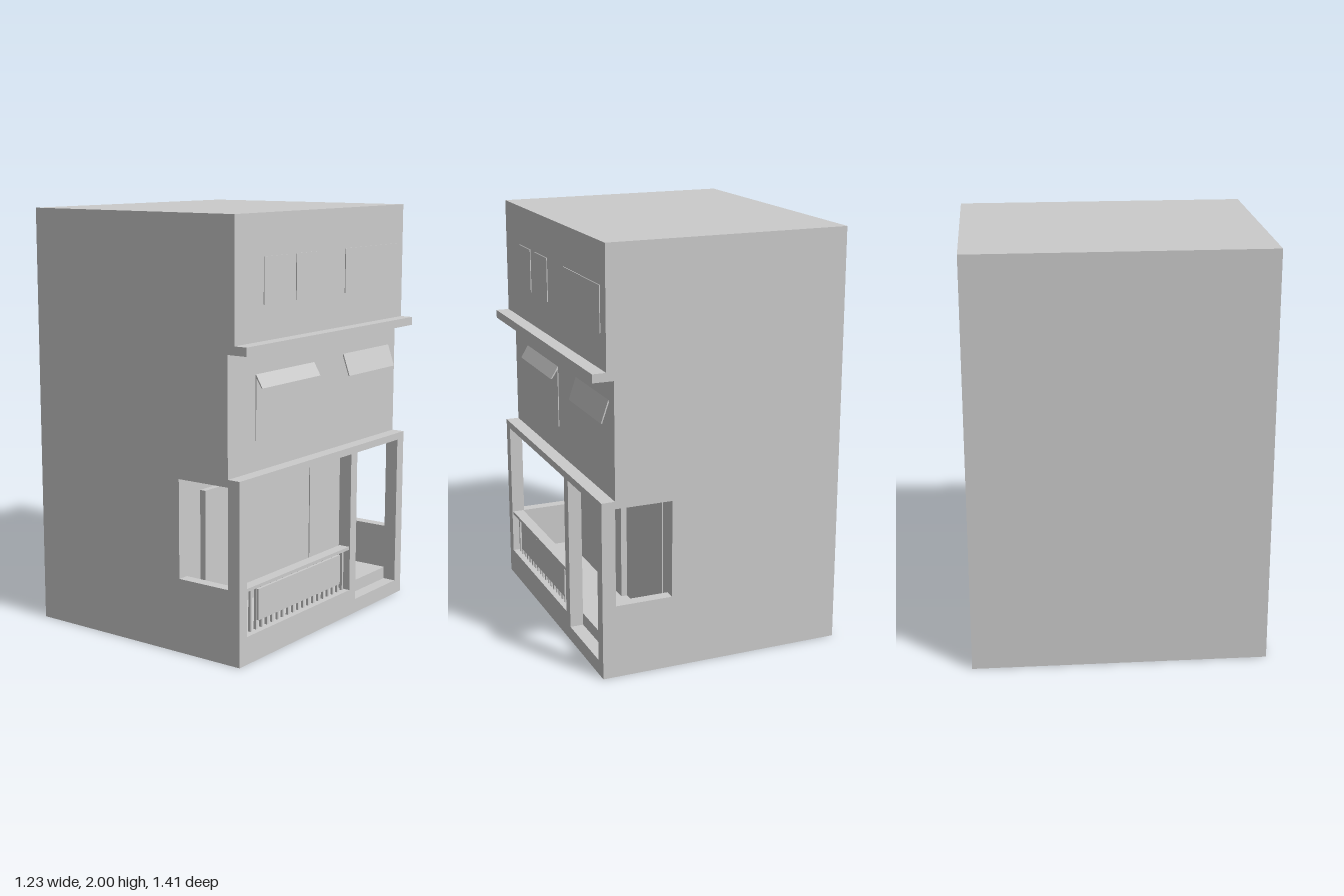
import * as THREE from 'three';

const material = new THREE.MeshStandardMaterial({ color: 0xcccccc, flatShading: true });

export function createModel() {
  const model = new THREE.Group();
  model.name = 'townhouse';

  const add = (name, geometry, parent = model) => {
    const mesh = new THREE.Mesh(geometry, material);
    mesh.name = name;
    parent.add(mesh);
    return mesh;
  };
  // Box given by its limits along each axis
  const box = (name, x0, x1, y0, y1, z0, z1, parent) =>
    add(name, new THREE.BoxGeometry(x1 - x0, y1 - y0, z1 - z0)
      .translate((x0 + x1) / 2, (y0 + y1) / 2, (z0 + z1) / 2), parent);
  // Profile in x and y, drawn out along z
  const prism = (name, points, z0, z1, parent) => {
    const shape = new THREE.Shape(points.map(([x, y]) => new THREE.Vector2(x, y)));
    return add(name, new THREE.ExtrudeGeometry(shape, { depth: z1 - z0, bevelEnabled: false })
      .translate(0, 0, z0), parent);
  };
  const rect = (Type, x0, x1, y0, y1) => new Type([
    new THREE.Vector2(x0, y0), new THREE.Vector2(x1, y0),
    new THREE.Vector2(x1, y1), new THREE.Vector2(x0, y1),
  ]);

  // Main body with recessed porch, overhanging floors and cornice
  prism('body', [
    [-0.615, 0], [0.51, 0], [0.51, 0.13], [0.235, 0.13], [0.235, 0.815], [0.51, 0.815],
    [0.51, 1.4], [0.61, 1.4], [0.61, 1.44], [0.545, 1.44], [0.545, 2], [-0.615, 2],
  ], -0.705, 0.705);

  // Porch front wall with balcony opening and entrance opening
  const wall = rect(THREE.Shape, -0.705, 0.705, 0, 0.85);
  wall.holes.push(rect(THREE.Path, -0.65, 0.205, 0.13, 0.815));
  wall.holes.push(rect(THREE.Path, 0.26, 0.645, 0.07, 0.815));
  add('porchFrontWall', new THREE.ExtrudeGeometry(wall, { depth: 0.065, bevelEnabled: false })
    .rotateY(Math.PI / 2).translate(0.51, 0, 0));

  // Low walls under the side openings of the porch
  box('porchSideWallLeft', 0.235, 0.51, 0.13, 0.35, 0.65, 0.705);
  box('porchSideWallRight', 0.235, 0.51, 0.13, 0.35, -0.705, -0.65);

  // Shop window and door on the porch back wall
  box('porchWindow', 0.235, 0.265, 0.13, 0.735, -0.145, 0.55);
  box('porchDoor', 0.235, 0.24, 0.13, 0.8, -0.6, -0.35);

  // Railing with balusters and a sign board
  const railing = new THREE.Group();
  railing.name = 'railing';
  model.add(railing);
  box('handrail', 0.515, 0.57, 0.335, 0.35, -0.205, 0.65, railing);
  for (let i = 0; i < 20; i++) {
    const z = 0.622 - i * 0.0425;
    box('baluster', 0.535, 0.547, 0.13, 0.335, z - 0.006, z + 0.006, railing);
  }
  box('railingBoard', 0.547, 0.56, 0.175, 0.322, -0.14, 0.54, railing);

  // Sloping awnings on the middle floor
  const awning = (x, y0, y1, z0, z1) => prism('awning', [
    [0.508, y1 - 0.008], [x - 0.006, y0], [x, y0], [0.512, y1],
  ], z0, z1);
  awning(0.548, 1.23, 1.29, 0.035, 0.5);
  awning(0.548, 1.195, 1.3, -0.64, -0.22);

  // Thin window panes on the upper floors
  box('middleWindow', 0.51, 0.514, 0.99, 1.28, 0.035, 0.5);
  for (const [z0, z1] of [[0.31, 0.49], [0.06, 0.24], [-0.64, -0.17]]) {
    box('upperWindow', 0.545, 0.549, 1.6, 1.81, z0, z1);
  }
  return model;
}
